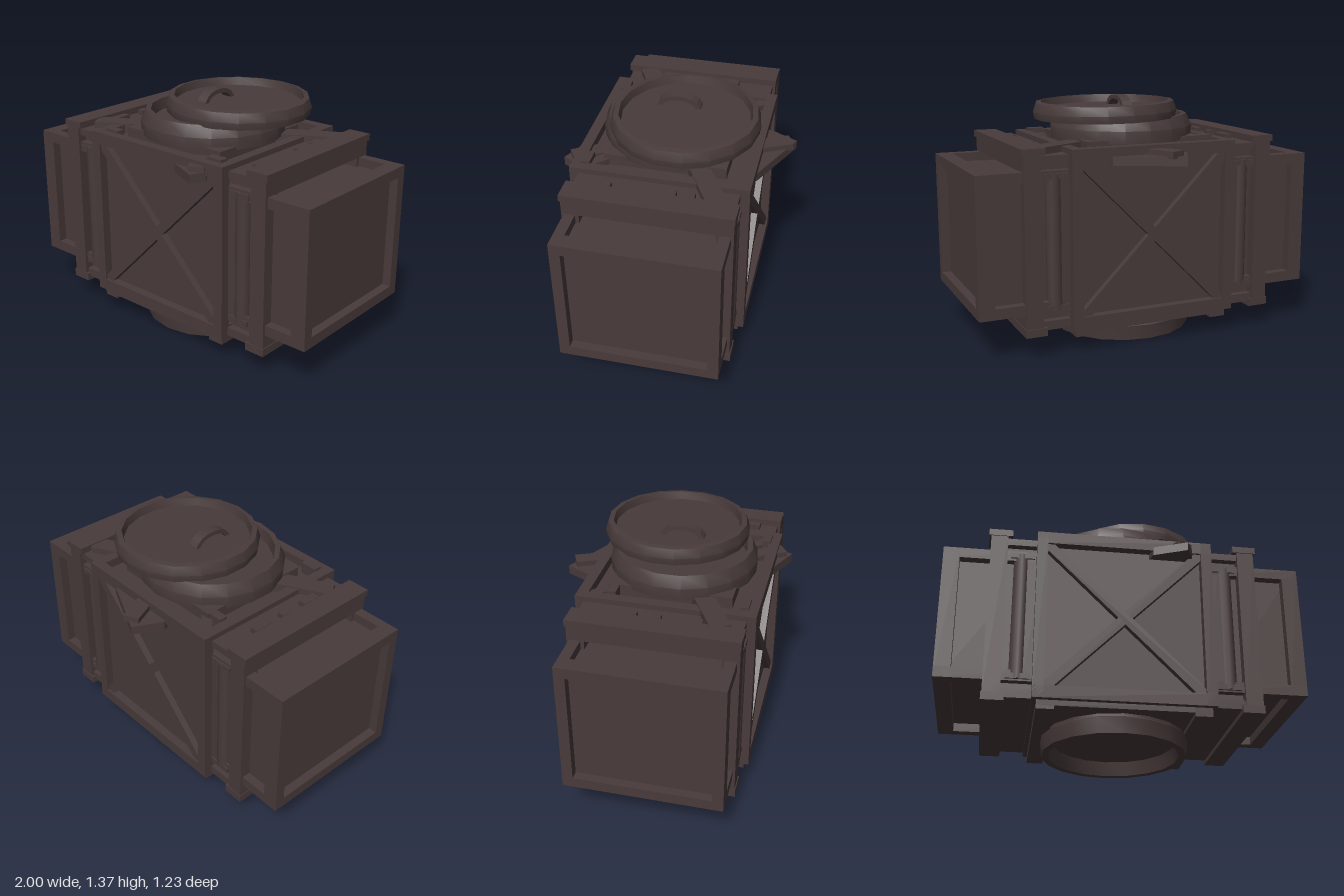
import * as THREE from 'three';
import { toCreasedNormals } from 'three/addons/utils/BufferGeometryUtils.js';

const iron = new THREE.MeshStandardMaterial({ color: 0x483a3a });
iron.name = 'darkIron';

const CZ = 0.04; // depth centre of the body

function add(parent, name, geometry, x = 0, y = 0, z = 0) {
  const mesh = new THREE.Mesh(geometry, iron);
  mesh.name = name;
  mesh.position.set(x, y, z);
  parent.add(mesh);
  return mesh;
}

// Box given by its limits on each axis
function block(parent, name, x0, x1, y0, y1, z0, z1) {
  return add(parent, name, new THREE.BoxGeometry(x1 - x0, y1 - y0, z1 - z0),
    (x0 + x1) / 2, (y0 + y1) / 2, (z0 + z1) / 2);
}

// Rectangular strut between two points
function strut(parent, name, a, b, width, depth) {
  const from = new THREE.Vector3(...a), to = new THREE.Vector3(...b);
  const mesh = add(parent, name, new THREE.BoxGeometry(width, depth, from.distanceTo(to)));
  mesh.position.copy(from).add(to).multiplyScalar(0.5);
  mesh.lookAt(to);
  return mesh;
}

// Crate: twelve edge bars round a recessed core
function crate(parent, name, lo, hi, bar, recess) {
  const g = new THREE.Group();
  g.name = name;
  parent.add(g);
  block(g, 'recessedPanels', lo[0] + recess, hi[0] - recess, lo[1] + recess, hi[1] - recess,
    lo[2] + recess, hi[2] - recess);
  for (let axis = 0; axis < 3; axis++) {
    const u = (axis + 1) % 3, v = (axis + 2) % 3;
    for (const su of [0, 1]) for (const sv of [0, 1]) {
      const a = [...lo], b = [...hi];
      if (su) a[u] = hi[u] - bar[u]; else b[u] = lo[u] + bar[u];
      if (sv) a[v] = hi[v] - bar[v]; else b[v] = lo[v] + bar[v];
      block(g, 'edgeBar', a[0], b[0], a[1], b[1], a[2], b[2]);
    }
  }
}

function lathe(profile, sides) {
  const points = profile.map(([r, y]) => new THREE.Vector2(r, y));
  return toCreasedNormals(new THREE.LatheGeometry(points, sides).toNonIndexed(), 0.6);
}

export function createModel() {
  const model = new THREE.Group();
  model.name = 'pipeJunction';

  // Central crate with cross braces on front and back, one on top
  crate(model, 'centralCrate', [-0.49, 0.14, -0.45], [0.49, 1.13, 0.53], [0.06, 0.07, 0.06], 0.05);
  for (const z of [-0.41, 0.49]) {
    for (const s of [-1, 1]) {
      strut(model, 'crossBrace', [-0.43 * s, 0.2, z], [0.43 * s, 1.06, z], 0.055, 0.055);
    }
  }
  strut(model, 'topBrace', [-0.43, 1.09, -0.39], [0.43, 1.09, 0.47], 0.06, 0.05);

  // Plates under the round openings, and corner clips
  block(model, 'topPlate', -0.35, 0.35, 1.07, 1.145, -0.3, 0.38);
  block(model, 'bottomPlate', -0.46, 0.46, 0.11, 0.15, -0.415, 0.5);
  for (const [x, z] of [[-0.38, -0.265], [-0.38, 0.455], [0.39, 0.455]]) {
    block(model, 'cornerClip', x - 0.05, x + 0.05, 1.08, 1.145, z - 0.025, z + 0.025);
  }

  for (const s of [-1, 1]) {
    const side = new THREE.Group();
    side.name = s > 0 ? 'leftDuct' : 'rightDuct';
    model.add(side);
    const box = (name, a, b, ...rest) =>
      block(side, name, Math.min(a * s, b * s), Math.max(a * s, b * s), ...rest);

    // Square duct end
    const lo = s > 0 ? 0.45 : -1, hi = s > 0 ? 1 : -0.45;
    crate(side, 'ductEnd', [lo, 0.245, -0.4], [hi, 1.02, 0.48], [0.09, 0.06, 0.06], 0.05);

    // Collar between the crate and the duct
    box('collarCore', 0.4, 0.66, 0.2, 1.08, -0.36, 0.44);
    for (const z of [[-0.415, -0.32], [0.4, 0.495]]) box('collarPost', 0.65, 0.745, 0.15, 1.12, ...z);
    box('collarTop', 0.65, 0.745, 1.02, 1.12, -0.415, 0.495);
    box('collarBottom', 0.65, 0.745, 0.15, 0.245, -0.415, 0.495);
    box('topStrip', 0.625, 0.757, 1.105, 1.143, -0.42, 0.5);
    box('bottomStrip', 0.63, 0.75, 0.125, 0.17, -0.42, 0.5);
    for (const y of [[0.15, 0.2], [1.06, 1.1]]) box('collarRail', 0.45, 0.74, ...y, -0.4, 0.48);
    box('footStrip', 0.37, 0.465, 0.09, 0.15, -0.415, 0.5);

    // Vertical pipes in the gap, with brackets
    for (const z of [-0.37, 0.45]) {
      add(side, 'gapPipe', new THREE.CylinderGeometry(0.045, 0.045, 0.74, 10), 0.57 * s, 0.63, z);
      for (const y of [0.27, 0.99]) box('pipeBracket', 0.5, 0.63, y - 0.015, y + 0.015, z - 0.04, z + 0.04);
    }
    // Small blocks along the top of the gap
    const spots = s > 0 ? [[-0.18, -0.1], [-0.08, 0.03], [0.27, 0.38]] : [[-0.2, -0.08], [0, 0.05], [0.16, 0.27]];
    for (const [z0, z1] of spots) box('topBlock', 0.565, 0.61, 1.09, 1.13, z0, z1);
  }

  // Long diagonal beam across the top
  strut(model, 'diagonalBeam', [-0.62, 1.1, 0.37], [0.64, 1.1, -0.31], 0.11, 0.075);

  // Loose plate whose corners stick out front and back
  const outline = [[-0.18, -0.46], [-0.1, -0.62], [0.26, -0.45], [0.38, 0.53], [0.34, 0.61], [0.16, 0.53]];
  const plate = new THREE.ExtrudeGeometry(
    new THREE.Shape(outline.map(([x, z]) => new THREE.Vector2(x, -z))), { depth: 0.05, bevelEnabled: false });
  plate.rotateX(-Math.PI / 2);
  add(model, 'loosePlate', plate, 0, 1.03, 0);
  strut(model, 'plateRib', [-0.06, 1.09, -0.59], [0.02, 1.09, -0.42], 0.09, 0.04);
  strut(model, 'plateRib', [0.34, 1.09, 0.56], [0.24, 1.09, 0.4], 0.09, 0.04);

  // Round openings at the top and the bottom
  add(model, 'topRing', lathe([[0.41, 0], [0.415, 0.07], [0.385, 0.135],
    [0.355, 0.135], [0.345, 0.07], [0, 0.07]], 18), 0, 1.125, CZ);
  const base = add(model, 'bottomRing', lathe([[0.4, 0], [0.4, 0.055], [0.415, 0.065], [0.405, 0.15],
    [0.365, 0.15], [0.345, 0.07], [0, 0.07]], 18), 0, 0.15, CZ);
  base.rotation.x = Math.PI;

  // Lid pushed off centre, with a raised rim and a handle
  const lid = new THREE.Group();
  lid.name = 'lid';
  lid.position.set(0.13, 1.25, -0.03);
  lid.rotation.z = -0.015;
  model.add(lid);
  add(lid, 'lidPan', lathe([[0, 0], [0.405, 0], [0.412, 0.04], [0.395, 0.09],
    [0.365, 0.095], [0.355, 0.05], [0, 0.05]], 18));

  // Flat strap handle, bowed upwards
  const bow = new THREE.Shape();
  bow.moveTo(-0.13, 0.03);
  bow.quadraticCurveTo(-0.11, 0.115, 0, 0.115);
  bow.quadraticCurveTo(0.11, 0.115, 0.13, 0.03);
  bow.lineTo(0.1, 0.03);
  bow.quadraticCurveTo(0.09, 0.09, 0, 0.09);
  bow.quadraticCurveTo(-0.09, 0.09, -0.1, 0.03);
  const strap = new THREE.ExtrudeGeometry(bow, { depth: 0.06, bevelEnabled: false, curveSegments: 5 });
  const handle = add(lid, 'lidHandle', strap, -0.15, 0, 0.06);
  handle.rotation.y = Math.PI / 2;

  return model;
}
